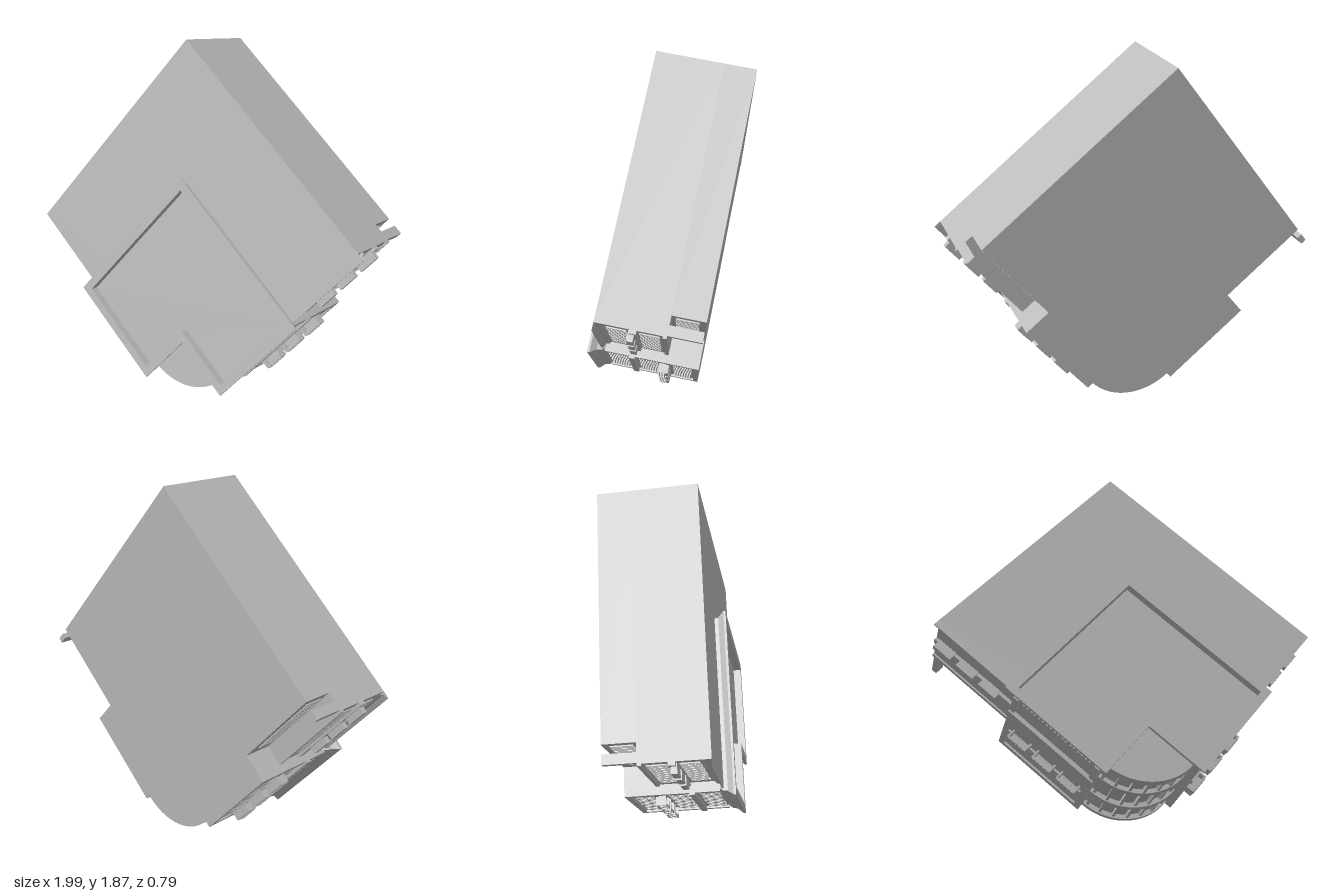
import * as THREE from 'three';

// Plan axes: u (x) and v (y) run along the two street fronts, z is the height.
const BASE = -0.163, FLOOR1 = 0, FLOOR2 = 0.175, ROOF = 0.34, DECK = 0.36;
const FAR = 1.41, WING = 0.88, CORNER = 0.34;

export function createModel() {
  const stone = new THREE.MeshStandardMaterial({ color: 0xbcbcbc, side: THREE.DoubleSide });
  stone.name = 'grey stone';
  const building = new THREE.Group();
  building.name = 'building';

  const add = (name, geometry) => {
    const mesh = new THREE.Mesh(geometry, stone);
    mesh.name = name;
    building.add(mesh);
    return mesh;
  };
  // Box from its limits; on the second front u and v trade places
  const box = (name, swap, u0, u1, v0, v1, h0, h1) => {
    const du = u1 - u0, dv = v1 - v0;
    const mesh = add(name, new THREE.BoxGeometry(swap ? dv : du, swap ? du : dv, h1 - h0));
    const u = (u0 + u1) / 2, v = (v0 + v1) / 2;
    mesh.position.set(swap ? v : u, swap ? u : v, (h0 + h1) / 2);
  };
  const extrude = (name, shape, h0, h1) => {
    const g = new THREE.ExtrudeGeometry(shape, { depth: h1 - h0, bevelEnabled: false, curveSegments: 20 });
    return add(name, g.translate(0, 0, h0));
  };
  // Moulding: an outline that widens with the (offset, height) profile
  const moulding = (name, outline, profile, closed) => {
    const pos = [];
    for (let k = 0; k + 1 < profile.length; k++) {
      const [d0, h0] = profile[k], [d1, h1] = profile[k + 1];
      const a = outline(d0), b = outline(d1), n = a.length;
      for (let i = 0; i < (closed ? n : n - 1); i++) {
        const j = (i + 1) % n;
        const A = [...a[i], h0], B = [...a[j], h0], C = [...b[j], h1], D = [...b[i], h1];
        pos.push(...A, ...B, ...C, ...A, ...C, ...D);
      }
    }
    const g = new THREE.BufferGeometry();
    g.setAttribute('position', new THREE.Float32BufferAttribute(pos, 3));
    g.computeVertexNormals();
    add(name, g);
  };

  // Rounded square plan of the main block
  const blockPlan = (inset) => {
    const s = new THREE.Shape();
    s.moveTo(CORNER, 0.05);
    s.lineTo(WING, 0.05);
    s.lineTo(WING, inset);
    s.lineTo(FAR, inset);
    s.lineTo(FAR, FAR);
    s.lineTo(inset, FAR);
    s.lineTo(inset, WING);
    s.lineTo(0.05, WING);
    s.lineTo(0.05, CORNER);
    s.absarc(CORNER, CORNER, 0.29, Math.PI, Math.PI * 1.5, false);
    return s;
  };
  extrude('groundFloor', blockPlan(0.14), BASE, FLOOR1);
  extrude('upperFloors', blockPlan(0.04), FLOOR1, ROOF);

  // Projecting L-shaped wing around the notch at the corner
  const wing = (d) => [
    [CORNER - d, -d], [WING + d, -d], [WING + d, WING + d],
    [-d, WING + d], [-d, CORNER - d], [CORNER - d, CORNER - d],
  ];
  extrude('projectingWing', new THREE.Shape(wing(0).map((p) => new THREE.Vector2(...p))), BASE, DECK);
  moulding('wingCornice', wing,
    [[0, 0.32], [0.012, 0.335], [0.016, 0.36], [0.04, 0.39], [0.04, 0.402], [-0.004, 0.402], [-0.004, DECK]], true);

  // Rounded corner: floor rings and mullions
  for (const [h0, h1, r] of [[BASE, -0.14, 0.315], [-0.012, 0.018, 0.315], [0.16, 0.19, 0.312], [0.295, ROOF, 0.315]]) {
    const s = new THREE.Shape();
    s.absarc(CORNER, CORNER, r, Math.PI, Math.PI * 1.5, false);
    s.absarc(CORNER, CORNER, 0.27, Math.PI * 1.5, Math.PI, true);
    extrude('cornerRing', s, h0, h1);
  }
  for (let i = 0; i <= 6; i++) {
    const a = Math.PI * (1 + (i + 0.3) / 13.2);
    const m = add('cornerMullion', new THREE.BoxGeometry(0.03, 0.014, ROOF - BASE - 0.01));
    m.position.set(CORNER + 0.293 * Math.cos(a), CORNER + 0.293 * Math.sin(a), (ROOF + BASE) / 2);
    m.rotation.z = a;
  }

  // Row of narrow upright window bars, paired
  const windows = (swap, u0, u1, count, v, h0, h1) => {
    const step = (u1 - u0) / count;
    for (let i = 0; i < count; i++) {
      const u = u0 + (i + 0.5) * step;
      for (const s of [-1, 1]) {
        const c = u + s * step * 0.22;
        box('windowBar', swap, c - 0.005, c + 0.005, v - 0.007, v, h0, h1);
      }
    }
  };

  for (const swap of [false, true]) {
    // Wing front: edge strips, ledges, windows and balconies
    box('wingPlinth', swap, CORNER, WING, -0.012, 0, BASE, BASE + 0.025);
    box('wingLedge', swap, CORNER, WING, -0.022, 0, 0.165, 0.195);
    box('floorBand', swap, CORNER, WING, -0.012, 0, -0.015, 0.005);
    for (const u of [CORNER, WING - 0.03])
      box('wingEdgeStrip', swap, u, u + 0.03, -0.012, 0, BASE, 0.32);
    windows(swap, 0.39, 0.83, 9, 0, -0.125, -0.03);
    windows(swap, 0.39, 0.83, 9, 0, 0.05, 0.15);
    windows(swap, 0.39, 0.83, 9, 0, 0.21, 0.31);
    for (const u of [0.445, 0.605, 0.765]) {
      box('balconyFloor', swap, u - 0.06, u + 0.06, -0.055, 0, -0.012, 0.004);
      box('balconyFront', swap, u - 0.06, u + 0.06, -0.055, -0.045, 0, 0.04);
      for (const s of [-1, 1])
        box('balconySide', swap, u + s * 0.055 - 0.005, u + s * 0.055 + 0.005, -0.05, 0, 0, 0.04);
      for (let i = -2; i <= 2; i++)
        box('baluster', swap, u + i * 0.022 - 0.004, u + i * 0.022 + 0.004, -0.059, -0.055, 0.002, 0.038);
    }

    // Side front: cornice, ledge, shallow balconies, windows and end pier
    moulding('sideCornice',
      (d) => [[WING, 0.04 - d], [FAR, 0.04 - d]].map(([u, v]) => (swap ? [v, u] : [u, v])),
      [[0, 0.295], [0.012, 0.305], [0.015, 0.32], [0.04, 0.332], [0.04, ROOF], [0, ROOF]], false);
    box('sideLedge', swap, WING, FAR, 0.022, 0.04, 0.14, 0.175);
    box('soffitBand', swap, WING, FAR, 0.03, 0.04, FLOOR1, 0.02);
    for (const u of [1.03, 1.18, 1.33])
      box('shallowBalcony', swap, u - 0.055, u + 0.055, -0.012, 0.04, 0.15, 0.18);
    windows(swap, 0.94, 1.38, 9, 0.04, 0.035, 0.13);
    windows(swap, 0.94, 1.38, 9, 0.04, 0.19, 0.285);
    windows(swap, 0.94, 1.38, 9, 0.14, -0.13, -0.02);
    box('endPier', swap, 1.38, FAR, 0.045, 0.095, BASE, FLOOR1);
  }

  // Turn the block onto its corner and lean it back
  building.rotation.z = THREE.MathUtils.degToRad(50);
  building.position.set(0.09, -0.143, 0);
  const model = new THREE.Group();
  model.name = 'cornerBuilding';
  model.add(building);
  model.rotation.x = THREE.MathUtils.degToRad(-7.1);
  const root = new THREE.Group();
  root.add(model);
  return root;
}
